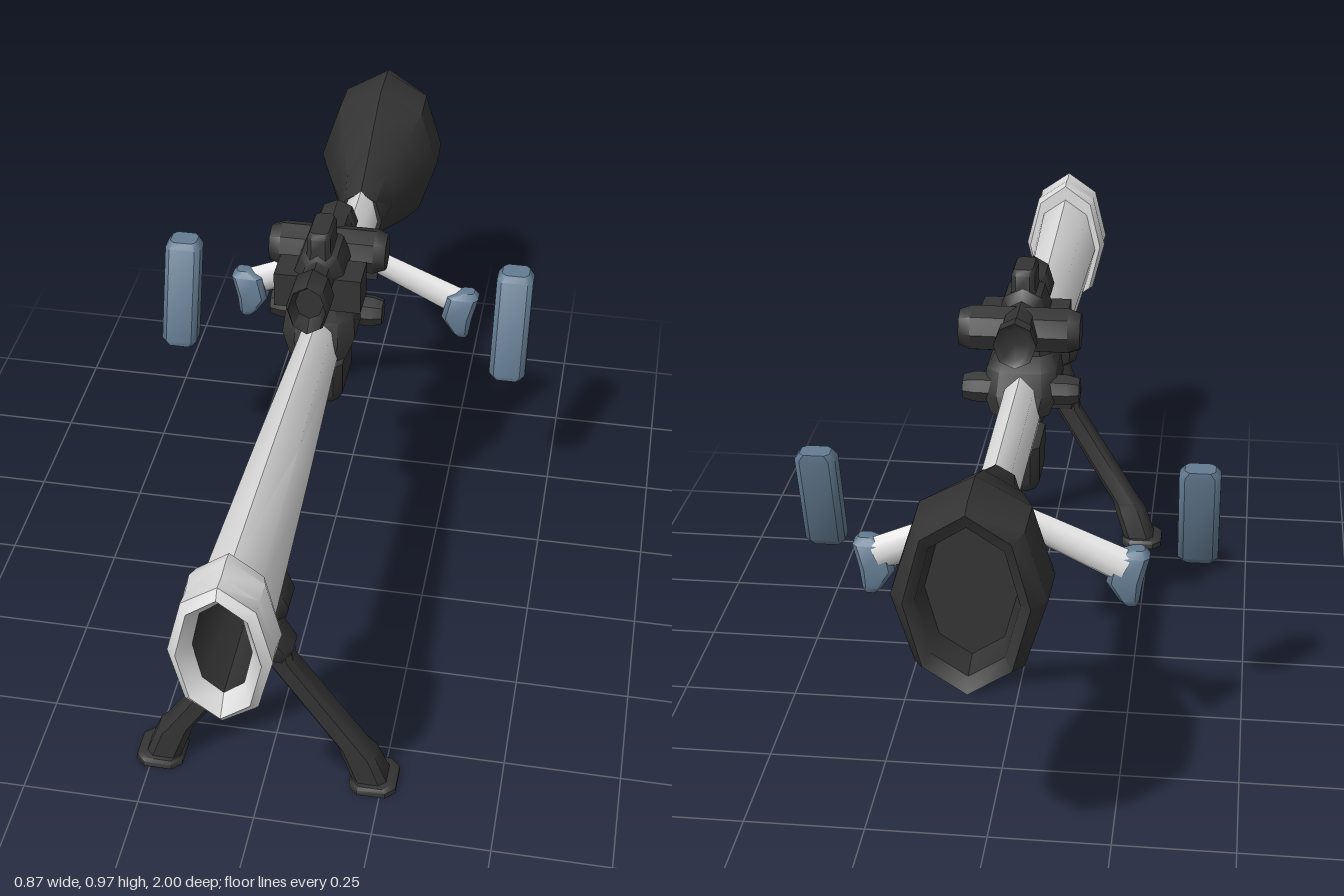
import * as THREE from 'three';
import { toCreasedNormals } from 'three/addons/utils/BufferGeometryUtils.js';

const mat = (name, color, side = THREE.FrontSide) => {
  const m = new THREE.MeshStandardMaterial({ color, side });
  m.name = name;
  return m;
};

// Skin a list of equal-length rings; optional flat caps at both ends
function loft(rings, capped = true) {
  const n = rings[0].length;
  const list = [...rings];
  if (capped) {
    const mid = (r) => {
      const c = [0, 1, 2].map((k) => r.reduce((s, p) => s + p[k], 0) / n);
      return r.map(() => c);
    };
    list.unshift(mid(rings[0]));
    list.push(mid(rings[rings.length - 1]));
  }
  const pos = [];
  for (let j = 0; j < list.length - 1; j++) {
    for (let i = 0; i < n; i++) {
      const k = (i + 1) % n;
      const a = list[j][i], b = list[j][k], c = list[j + 1][k], d = list[j + 1][i];
      if (a !== b) pos.push(...a, ...d, ...b);
      if (c !== d) pos.push(...b, ...d, ...c);
    }
  }
  const g = new THREE.BufferGeometry();
  g.setAttribute('position', new THREE.Float32BufferAttribute(pos, 3));
  return toCreasedNormals(g, 0.75);
}

// Eight-sided oval across the z axis (list from +z to -z for an outer skin)
const oval = ([z, cy, rx, ry]) => Array.from({ length: 8 }, (_, i) => {
  const a = (i * Math.PI) / 4;
  return [rx * Math.cos(a), cy + ry * Math.sin(a), z];
});

// Corner-cut rectangle across the y axis (list from top to bottom)
const slab = ([y, cx, cz, w, d]) => {
  const c = Math.min(w, d) * 0.2, W = w / 2, D = d / 2;
  return [[c - W, D], [W - c, D], [W, D - c], [W, c - D], [W - c, -D], [c - W, -D], [-W, c - D], [-W, D - c]]
    .map(([x, z]) => [cx + x, y, cz + z]);
};

export function createModel() {
  const root = new THREE.Group();
  const white = mat('pale shell', 0xe0e0e0);
  const dark = mat('dark metal', 0x343434);
  const blue = mat('blue grip', 0x647c92);

  const add = (name, geo, material, parent = root) => {
    const m = new THREE.Mesh(geo, material);
    m.name = name;
    parent.add(m);
    return m;
  };
  const group = (name) => {
    const g = new THREE.Group();
    g.name = name;
    root.add(g);
    return g;
  };
  const box = (name, w, h, d, x, y, z, parent) =>
    add(name, new THREE.BoxGeometry(w, h, d).translate(x, y, z), dark, parent);
  const knob = (name, r, length, y, z, parent) =>
    add(name, loft([[0.5, 0.8], [0.4, 1], [-0.4, 1], [-0.5, 0.8]]
      .map(([t, k]) => oval([t * length, 0, r * k, r * k]))).rotateY(Math.PI / 2).translate(0, y, z), dark, parent);

  // Barrel and muzzle
  add('barrel', loft([
    [0.9, 0.683, 0.078, 0.132], [0.45, 0.68, 0.063, 0.113], [0.05, 0.677, 0.047, 0.092],
    [-0.2, 0.67, 0.044, 0.082], [-0.6, 0.667, 0.042, 0.076],
  ].map(oval), false), white);
  add('muzzle', loft([
    [0.965, 0.69, 0.056, 0.112], [1, 0.69, 0.08, 0.146], [0.985, 0.69, 0.098, 0.165],
    [0.95, 0.69, 0.096, 0.16], [0.91, 0.69, 0.1, 0.166], [0.885, 0.69, 0.09, 0.16], [0.885, 0.685, 0.07, 0.12],
  ].map(oval), false), white);
  add('bore', loft([
    [0.35, 0.683, 0.001, 0.001], [0.35, 0.683, 0.045, 0.085], [0.965, 0.69, 0.056, 0.112],
  ].map(oval), false), dark);

  // Flared rear cup with a recessed opening
  add('rearCup', loft([
    [-0.565, 0.667, 0.052, 0.075], [-0.65, 0.667, 0.066, 0.105], [-0.75, 0.667, 0.106, 0.15],
    [-0.86, 0.666, 0.145, 0.19], [-0.965, 0.665, 0.142, 0.19], [-1, 0.665, 0.115, 0.18],
    [-0.985, 0.665, 0.095, 0.15], [-0.93, 0.665, 0.085, 0.135],
  ].map(oval)), dark);

  // Sight on its saddle
  const sight = group('sight');
  add('sightTube', loft([
    [0.1, 0.868, 0.03, 0.038], [0.13, 0.868, 0.04, 0.058], [0.12, 0.868, 0.046, 0.062], [0.06, 0.868, 0.046, 0.06],
    [0.045, 0.868, 0.036, 0.046], [0.01, 0.868, 0.036, 0.046], [-0.01, 0.868, 0.055, 0.065],
    [-0.1, 0.868, 0.055, 0.065], [-0.12, 0.862, 0.04, 0.05], [-0.215, 0.862, 0.04, 0.05],
    [-0.22, 0.862, 0.045, 0.052], [-0.25, 0.862, 0.045, 0.05], [-0.24, 0.862, 0.03, 0.036],
  ].map(oval)), dark, sight);
  add('topTurret', loft([
    [0.972, 0, -0.05, 0.04, 0.085], [0.96, 0, -0.05, 0.05, 0.1], [0.925, 0, -0.05, 0.05, 0.1], [0.88, 0, -0.05, 0.08, 0.12],
  ].map(slab)), dark, sight);
  knob('sideTurrets', 0.05, 0.256, 0.858, -0.14, sight);
  box('sightBracket', 0.188, 0.08, 0.08, 0, 0.833, -0.03, sight);
  add('saddle', loft([
    [0.84, 0, -0.05, 0.1, 0.11], [0.785, 0, -0.055, 0.12, 0.11], [0.76, 0, -0.07, 0.15, 0.16],
    [0.715, 0, -0.075, 0.16, 0.2], [0.67, 0, -0.075, 0.125, 0.21],
  ].map(slab)), dark, sight);
  knob('saddleBolts', 0.035, 0.25, 0.715, -0.12, sight);

  // Block under the barrel
  add('lowerBlock', loft([
    [0.605, 0, -0.12, 0.09, 0.16], [0.525, 0, -0.12, 0.09, 0.16], [0.505, 0, -0.12, 0.07, 0.14],
  ].map(slab)), dark);

  // Bipod
  const bipod = group('bipod');
  add('bipodHead', loft([
    [0.585, 0, 0.63, 0.07, 0.08], [0.555, 0, 0.63, 0.1, 0.11], [0.525, 0, 0.63, 0.125, 0.105],
    [0.49, 0, 0.625, 0.11, 0.08], [0.475, 0, 0.625, 0.065, 0.065], [0.43, 0, 0.625, 0.095, 0.08],
    [0.395, 0, 0.622, 0.135, 0.078], [0.36, 0, 0.62, 0.11, 0.06],
  ].map(slab)), dark, bipod);
  // Handle bracket
  const handles = group('handles');
  box('handleBracket', 0.11, 0.08, 0.08, 0, 0.59, -0.53, handles);
  knob('bracketPin', 0.03, 0.135, 0.595, -0.515, handles);

  for (const s of [1, -1]) {
    const side = s > 0 ? 'left' : 'right';
    add(side + 'Leg', loft([
      [0.4, 0.03, 0.622, 0.06, 0.06], [0.355, 0.036, 0.62, 0.058, 0.055], [0.11, 0.188, 0.603, 0.062, 0.06],
      [0.09, 0.199, 0.6, 0.072, 0.068], [0.012, 0.226, 0.594, 0.075, 0.078],
    ].map(([y, x, ...r]) => slab([y, s * x, ...r]))), dark, bipod);
    add(side + 'Foot', loft([
      [0.02, 0.23, 0.595, 0.085, 0.095], [0.013, 0.232, 0.595, 0.1, 0.105], [0, 0.232, 0.595, 0.1, 0.105],
    ].map(([y, x, ...r]) => slab([y, s * x, ...r]))), dark, bipod);

    // Pale rod running outward and down to the small grip
    const rod = new THREE.CylinderGeometry(0.038, 0.03, 0.23, 8).scale(1, 1, 0.62)
      .rotateZ(Math.atan2(-s * 0.2, -0.092)).translate(s * 0.148, 0.549, -0.506);
    add(side + 'Rod', toCreasedNormals(rod, 0.9), white, handles);
    add(side + 'Grip', loft([
      [0.54, 0.275, -0.498, 0.03, 0.03], [0.525, 0.264, -0.498, 0.074, 0.052],
      [0.47, 0.251, -0.498, 0.073, 0.056], [0.43, 0.262, -0.498, 0.04, 0.054], [0.417, 0.266, -0.498, 0.022, 0.04],
    ].map(([y, x, ...r]) => slab([y, s * x, ...r]))), blue, handles);

    // Slanted floating pad
    add(side + 'Pad', loft([[0.675, 0.062, 0.05], [0.66, 0.084, 0.058], [0.445, 0.084, 0.058], [0.43, 0.062, 0.04]]
      .map(([y, w, d]) => slab([y, s * 0.393, -0.36 - (y - 0.553) * 0.32, w, d]))), blue);
  }
  return root;
}
